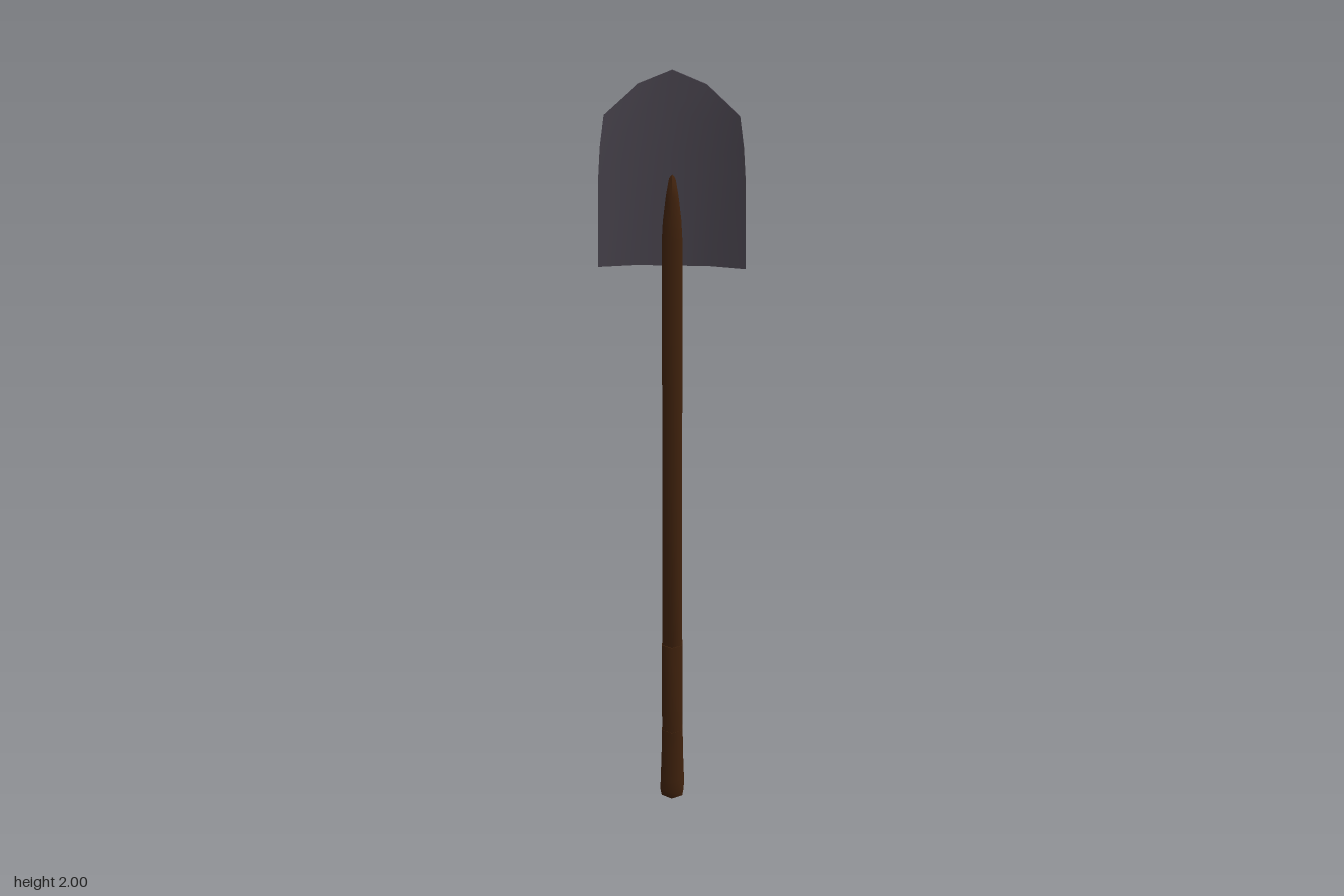
import * as THREE from 'three';
import { toCreasedNormals } from 'three/addons/utils/BufferGeometryUtils.js';

const metal = new THREE.MeshStandardMaterial({ name: 'dark steel', color: 0x4b4650 });
const wood = new THREE.MeshStandardMaterial({ name: 'brown wood', color: 0x40220d });

// Six-sided turned part from [radius, height] pairs
function turned(name, profile) {
  const points = profile.map(([r, y]) => new THREE.Vector2(r, y));
  const mesh = new THREE.Mesh(toCreasedNormals(new THREE.LatheGeometry(points, 6), 1.1), wood);
  mesh.name = name;
  return mesh;
}

// Curved plate: a box grid bent forward at the sides and thinned towards the tip
function blade() {
  const geometry = new THREE.BoxGeometry(2, 3, 2, 4, 3, 1);
  const pos = geometry.attributes.position;
  const rows = [0, 0.6, 0.8, 1];             // height along each column
  const widths = [0.177, 0.172, 0.167, 0.157];
  const tops = [2.0, 1.968, 1.9];            // centre, shoulder, side
  const middles = [-0.011, -0.008, 0.018];
  const halves = [0.014, 0.012, 0.006];
  for (let i = 0; i < pos.count; i++) {
    const u = pos.getX(i);
    const row = Math.round(pos.getY(i) + 1.5);
    const column = Math.round(Math.abs(u) * 2);
    const atTip = row === 3;
    const middle = atTip && column < 2 ? -0.002 : middles[column];
    const half = atTip ? 0.003 : halves[column];
    pos.setXYZ(i, u * widths[row],
      1.54 + (tops[column] - 1.54) * rows[row],
      middle + Math.sign(pos.getZ(i)) * half);
  }
  const mesh = new THREE.Mesh(toCreasedNormals(geometry, 0.7), metal);
  mesh.name = 'blade';
  return mesh;
}

export function createModel() {
  const model = new THREE.Group();
  model.name = 'shovel';
  model.add(
    blade(),
    // Shaft with a tapered end let into the blade
    turned('shaft', [[0.029, 0.47], [0.028, 1.0], [0.028, 1.6], [0.025, 1.65],
      [0.017, 1.71], [0.009, 1.75], [0, 1.765]]),
    // Thicker grip with a rounded pommel
    turned('grip', [[0, 0], [0.033, 0.003], [0.037, 0.025], [0.036, 0.06],
      [0.033, 0.14], [0.032, 0.22], [0.031, 0.22], [0.031, 0.49], [0.027, 0.49]]),
  );
  return model;
}
